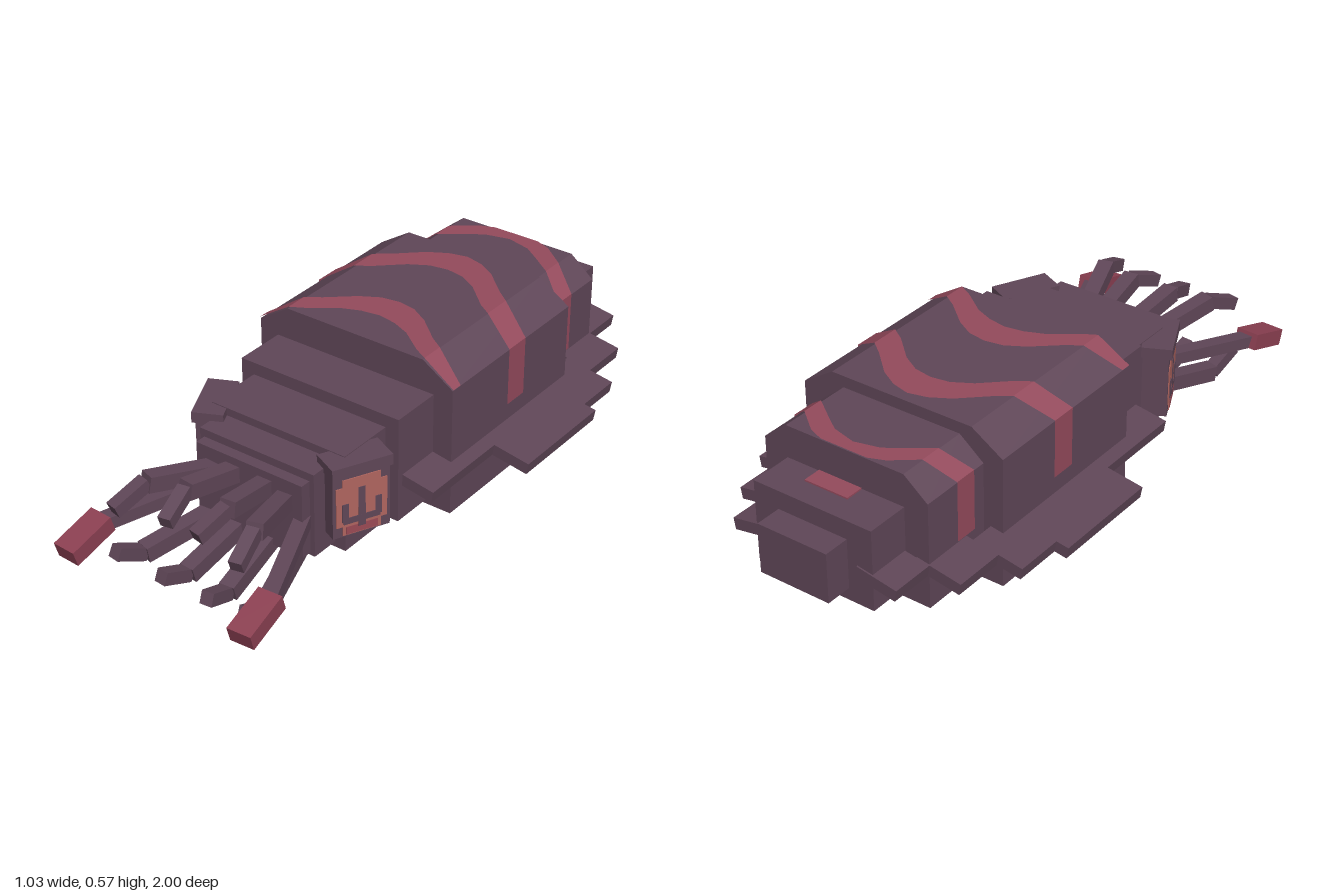
import * as THREE from 'three';

const mat = (name, color, side = THREE.FrontSide) => {
  const m = new THREE.MeshStandardMaterial({ color, side });
  m.name = name;
  return m;
};

export function createModel() {
  const root = new THREE.Group();
  root.name = 'cuttlefish';
  const skin = mat('purpleSkin', 0x5f4657);
  const stripe = mat('redStripe', 0x944a5c, THREE.DoubleSide);
  const club = mat('redClub', 0x8c4052);
  const iris = mat('orangeIris', 0xb0655f);
  const irisLow = mat('redIris', 0x9a4a55);

  const add = (name, geo, material, parent = root) => {
    const mesh = new THREE.Mesh(geo, material);
    mesh.name = name;
    parent.add(mesh);
    return mesh;
  };
  // box given by half width, y range and z range, centred on x = 0
  const slab = (name, hw, y0, y1, z0, z1) => {
    const m = add(name, new THREE.BoxGeometry(hw * 2, y1 - y0, z1 - z0), skin);
    m.position.set(0, (y0 + y1) / 2, (z0 + z1) / 2);
  };
  // body block whose upper edges are bevelled
  const bevelled = (name, hw, topHw, y0, shoulder, y1, z0, z1) => {
    const pts = [[-hw, y0], [hw, y0], [hw, shoulder], [topHw, y1], [-topHw, y1], [-hw, shoulder]];
    const shape = new THREE.Shape(pts.map(p => new THREE.Vector2(...p)));
    const geo = new THREE.ExtrudeGeometry(shape, { depth: z1 - z0, bevelEnabled: false });
    add(name, geo.translate(0, 0, z0), skin);
  };

  // mantle
  bevelled('mantle', 0.35, 0.245, 0.075, 0.495, 0.562, -0.53, 0.08);
  bevelled('rearMantle', 0.285, 0.205, 0.12, 0.46, 0.525, -0.775, -0.53);
  slab('mantleCollar', 0.285, 0.115, 0.46, 0.08, 0.25);
  slab('mantleEnd', 0.205, 0.16, 0.42, -0.915, -0.775);
  slab('tail', 0.12, 0.2, 0.36, -1, -0.915);

  // head
  slab('head', 0.24, 0.1, 0.42, 0.25, 0.44);
  slab('face', 0.205, 0.12, 0.395, 0.44, 0.535);
  slab('mouth', 0.19, 0.13, 0.37, 0.535, 0.57);

  // siphon
  const siphon = add('siphon', new THREE.BoxGeometry(0.12, 0.11, 0.16), skin);
  siphon.position.set(0, 0.078, 0.298);
  siphon.rotation.x = -0.32;

  // wavy stripes draped over the bevelled blocks; rows are [x, zBack, zFront]
  const band = (name, hw, topHw, shoulder, top, rows, sideBottom) => {
    const all = [...rows.slice(1).reverse().map(([x, a, b]) => [-x, a, b]), ...rows];
    const pos = [], index = [];
    const line = all.map(([x, a, b]) => {
      const t = Math.max(0, (Math.abs(x) - topHw) / (hw - topHw));
      return [x * 1.008, top + (shoulder - top) * t + 0.004, a, b];
    });
    if (sideBottom !== undefined) {
      const [x, , a, b] = line[line.length - 1];
      line.push([x, sideBottom, a, b]);
      line.unshift([-x, sideBottom, a, b]);
    }
    line.forEach(([x, y, a, b], i) => {
      pos.push(x, y, a, x, y, b);
      const k = i * 2;
      if (i) index.push(k - 2, k - 1, k, k - 1, k + 1, k);
    });
    const geo = new THREE.BufferGeometry();
    geo.setAttribute('position', new THREE.Float32BufferAttribute(pos, 3));
    geo.setIndex(index);
    const flat = geo.toNonIndexed();
    flat.computeVertexNormals();
    add(name, flat, stripe);
  };
  band('frontStripe', 0.35, 0.245, 0.495, 0.562,
    [[0, -0.145, -0.045], [0.06, -0.135, -0.035], [0.12, -0.1, -0.01], [0.2, -0.03, 0.05], [0.245, 0, 0.075], [0.35, 0.045, 0.08]]);
  band('middleStripe', 0.35, 0.245, 0.495, 0.562,
    [[0, -0.5, -0.395], [0.06, -0.485, -0.385], [0.12, -0.45, -0.35], [0.2, -0.375, -0.275], [0.245, -0.34, -0.245], [0.35, -0.29, -0.205]], 0.31);
  band('rearStripe', 0.285, 0.205, 0.46, 0.525,
    [[0, -0.775, -0.735], [0.08, -0.775, -0.715], [0.13, -0.755, -0.68], [0.205, -0.695, -0.625], [0.285, -0.65, -0.575]], 0.27);
  const patch = add('tailPatch', new THREE.BoxGeometry(0.15, 0.006, 0.06), stripe);
  patch.position.set(0.015, 0.422, -0.807);

  // arm section between two points
  const beam = (name, a, b, w, h, material = skin) => {
    const from = new THREE.Vector3(...a), to = new THREE.Vector3(...b);
    const m = add(name, new THREE.BoxGeometry(w, h, from.distanceTo(to)), material);
    m.position.copy(from).add(to).multiplyScalar(0.5);
    m.lookAt(to);
  };
  const arms = [
    ['upperInnerArm', [0.055, 0.315, 0.54], [0.075, 0.352, 0.75], [0.055, 0.31, 0.86]],
    ['upperSideArm', [0.12, 0.295, 0.54], [0.195, 0.345, 0.78], [0.22, 0.3, 0.89]],
    ['lowerSideArm', [0.15, 0.135, 0.54], [0.22, 0.095, 0.78], [0.235, 0.145, 0.88]],
    ['lowerInnerArm', [0.055, 0.135, 0.54], [0.073, 0.075, 0.76], [0.083, 0.115, 0.86]],
  ];
  // fin steps: inner x, outer x, z range
  const fins = [
    [0.2, 0.39, -0.08, 0.23], [0.3, 0.51, -0.45, -0.08], [0.305, 0.47, -0.61, -0.45],
    [0.24, 0.39, -0.778, -0.61], [0.15, 0.285, -0.92, -0.778],
  ];

  for (const s of [1, -1]) {
    const side = s > 0 ? 'left' : 'right';
    const flip = ([x, y, z]) => [x * s, y, z];

    // drooping stepped fin
    for (const [x0, x1, z0, z1] of fins) {
      const fin = add(side + 'Fin', new THREE.BoxGeometry((x1 - x0) / Math.cos(0.17), 0.037, z1 - z0), skin);
      const x = (x0 + x1) / 2;
      fin.position.set(s * x, 0.236 - (x - 0.35) * 0.172, (z0 + z1) / 2);
      fin.rotation.z = -s * 0.17;
    }

    // jointed arms
    for (const [name, a, b, c] of arms) {
      beam(`${side} ${name}`, flip(a), flip(b), 0.05, 0.05);
      beam(`${side} ${name} tip`, flip(b), flip(c), 0.04, 0.04);
    }

    // long feeding tentacle with its club
    beam(side + 'Tentacle', flip([0.17, 0.235, 0.54]), flip([0.305, 0.205, 0.86]), 0.045, 0.04);
    beam(side + 'Club', flip([0.305, 0.212, 0.846]), flip([0.314, 0.168, 0.992]), 0.078, 0.052, club);

    // eye, facing outward and slightly forward
    const eye = new THREE.Group();
    eye.name = side + 'Eye';
    eye.position.set(s * 0.25, 0.3, 0.408);
    eye.rotation.y = s * 1.125;
    root.add(eye);
    const part = (name, w, h, d, x, y, z, m) =>
      add(name, new THREE.BoxGeometry(w, h, d), m, eye).position.set(x, y, z);
    part('eyeSocket', 0.18, 0.23, 0.08, 0, -0.005, 0, skin);
    part('eyelid', 0.19, 0.035, 0.095, 0, 0.1, 0.003, skin);
    part('irisWide', 0.16, 0.13, 0.004, 0, -0.02, 0.041, iris);
    part('irisTall', 0.12, 0.185, 0.004, 0, -0.0225, 0.0412, iris);
    part('irisLow', 0.1, 0.025, 0.004, 0, -0.1, 0.0425, irisLow);
    part('pupilCentre', 0.022, 0.13, 0.004, 0, -0.03, 0.043, skin);
    part('pupilBase', 0.115, 0.02, 0.004, 0, -0.068, 0.0432, skin);
    for (const k of [1, -1]) part('pupilArm', 0.02, 0.06, 0.004, k * 0.052, -0.04, 0.0434, skin);
  }
  return root;
}
